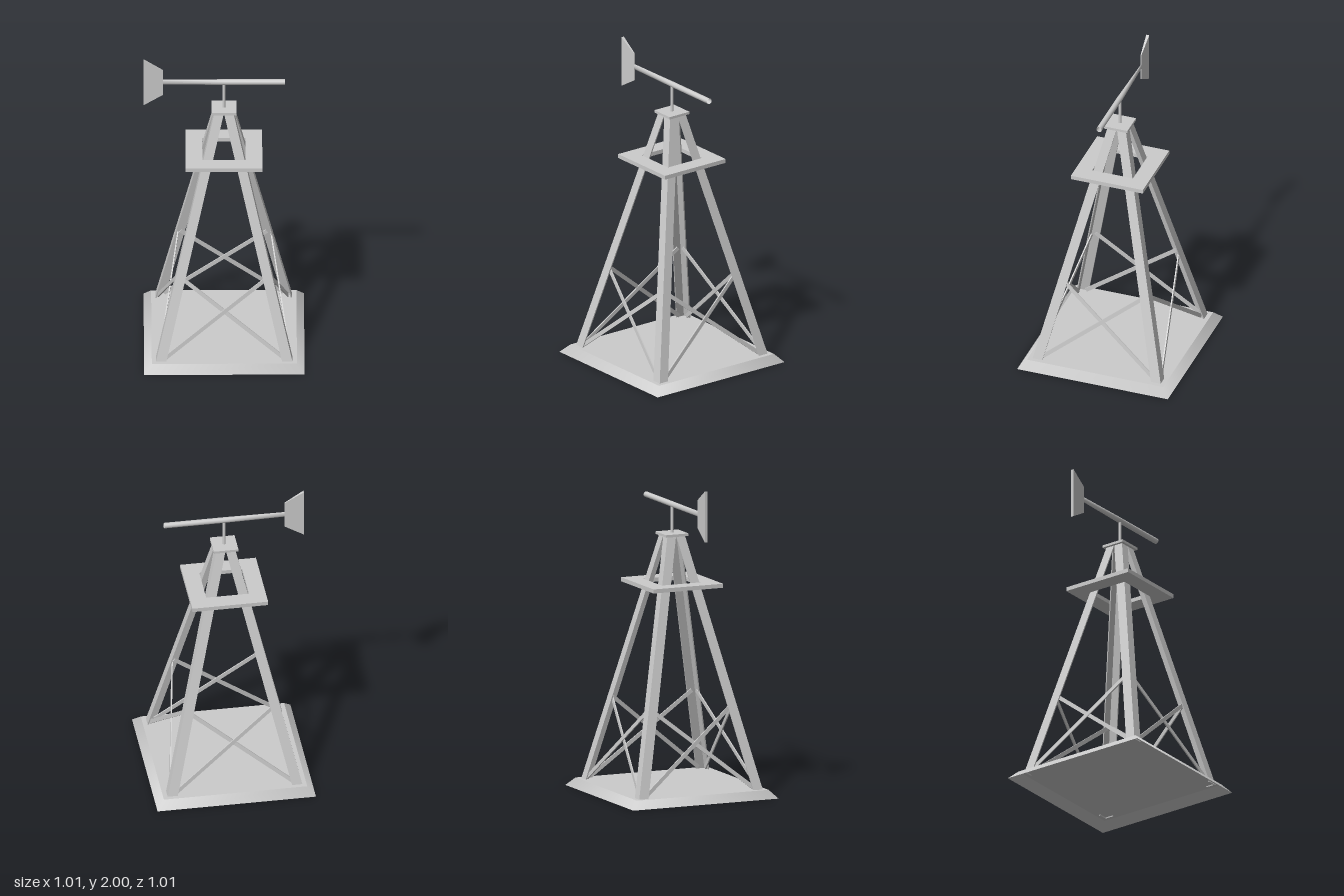
import * as THREE from 'three';

const solid = new THREE.MeshStandardMaterial({ color: 0xcccccc });
const sheet = new THREE.MeshStandardMaterial({ color: 0xcccccc, side: THREE.DoubleSide });

function part(name, geometry, material = solid) {
  const mesh = new THREE.Mesh(geometry, material);
  mesh.name = name;
  return mesh;
}

// Four-sided bar between two horizontal rectangles: [centre x, y, centre z, half x, half z]
function prism(low, high) {
  const geo = new THREE.BoxGeometry(2, 2, 2);
  const p = geo.attributes.position;
  for (let i = 0; i < p.count; i++) {
    const [cx, y, cz, hx, hz] = p.getY(i) < 0 ? low : high;
    p.setXYZ(i, cx + p.getX(i) * hx, y, cz + p.getZ(i) * hz);
  }
  geo.computeVertexNormals();
  return geo;
}

// Flat bar from a to b, its broad face turned outward (+z)
function bar(a, b, width, thickness) {
  const along = b.clone().sub(a);
  const geo = new THREE.BoxGeometry(along.length(), width, thickness);
  const x = along.clone().normalize();
  const y = new THREE.Vector3(0, 0, 1).cross(x).normalize();
  const z = x.clone().cross(y);
  const m = new THREE.Matrix4().makeBasis(x, y, z);
  m.setPosition(a.clone().add(b).multiplyScalar(0.5));
  return geo.applyMatrix4(m);
}

function squareShape(half, Type = THREE.Shape) {
  return new Type([[-1, -1], [1, -1], [1, 1], [-1, 1]].map(([x, y]) => new THREE.Vector2(x * half, y * half)));
}

// Leaning angle-iron leg: two thin flanges meeting at the outer corner
function angleLeg(sx, sz) {
  const leg = new THREE.Group();
  leg.name = 'leg';
  const t = 0.004; // half thickness
  const ends = [[0.43, 0.045, 0.0325], [0.06, 1.645, 0.03]]; // outer corner, height, half width
  leg.add(part('flange', prism(...ends.map(([c, y, h]) =>
    [sx * (c - h), y, sz * (c - t), h, t]))));
  leg.add(part('flange', prism(...ends.map(([c, y, h]) =>
    [sx * (c - t), y, sz * (c - h - t), t, h - t]))));
  return leg;
}

export function createModel() {
  const model = new THREE.Group();
  model.name = 'windmillTower';

  // Base: sloping skirt under a flat deck, open below
  const skirt = new THREE.CylinderGeometry(0.456 * Math.SQRT2, 0.504 * Math.SQRT2, 0.052, 4, 1, true);
  model.add(part('baseSkirt', skirt.rotateY(Math.PI / 4).translate(0.001, 0.026, 0), sheet));
  const deck = new THREE.PlaneGeometry(0.912, 0.912);
  model.add(part('baseDeck', deck.rotateX(-Math.PI / 2).translate(0.001, 0.052, 0), sheet));

  // Four legs
  for (const sx of [-1, 1]) {
    for (const sz of [-1, 1]) model.add(angleLeg(sx, sz));
  }

  // Crossed flat braces on each face, one lying over the other
  for (let i = 0; i < 4; i++) {
    const cross = new THREE.Group();
    cross.name = 'crossBrace';
    for (const s of [-1, 1]) {
      cross.add(part('brace', bar(
        new THREE.Vector3(-s * 0.375, 0.064, 0.409 + s * 0.004),
        new THREE.Vector3(s * 0.272, 0.582, 0.292 + s * 0.004),
        0.025, 0.008,
      )));
    }
    cross.rotation.y = i * Math.PI / 2;
    model.add(cross);
  }

  // Open square walkway
  const ring = squareShape(0.241);
  ring.holes.push(squareShape(0.136, THREE.Path));
  const walkway = new THREE.ExtrudeGeometry(ring, { depth: 0.026, bevelEnabled: false });
  walkway.rotateX(-Math.PI / 2).translate(0, 1.323, 0);
  model.add(part('walkway', walkway));

  // Cap plate and mast
  model.add(part('capPlate', new THREE.BoxGeometry(0.157, 0.016, 0.157).translate(0, 1.648, 0)));
  model.add(part('mast', new THREE.CylinderGeometry(0.01, 0.01, 0.19, 16).translate(0, 1.745, 0)));

  // Hollow shaft, pinched flat toward the tail
  const shaft = new THREE.CylinderGeometry(0.018, 0.018, 0.768, 24, 2, true);
  shaft.rotateZ(-Math.PI / 2).translate(0, 1.837, 0);
  const p = shaft.attributes.position;
  for (let i = 0; i < p.count; i++) {
    if (p.getX(i) < -0.2) p.setZ(i, p.getZ(i) * 0.15);
  }
  shaft.computeVertexNormals();
  model.add(part('shaft', shaft, sheet));

  // Tail vane, thickening and flaring outward
  const vane = prism([1.835, 0.384, 0, 0.09, 0.003], [1.837, 0.506, 0, 0.163, 0.01]);
  model.add(part('tailVane', vane.rotateZ(Math.PI / 2)));

  return model;
}
